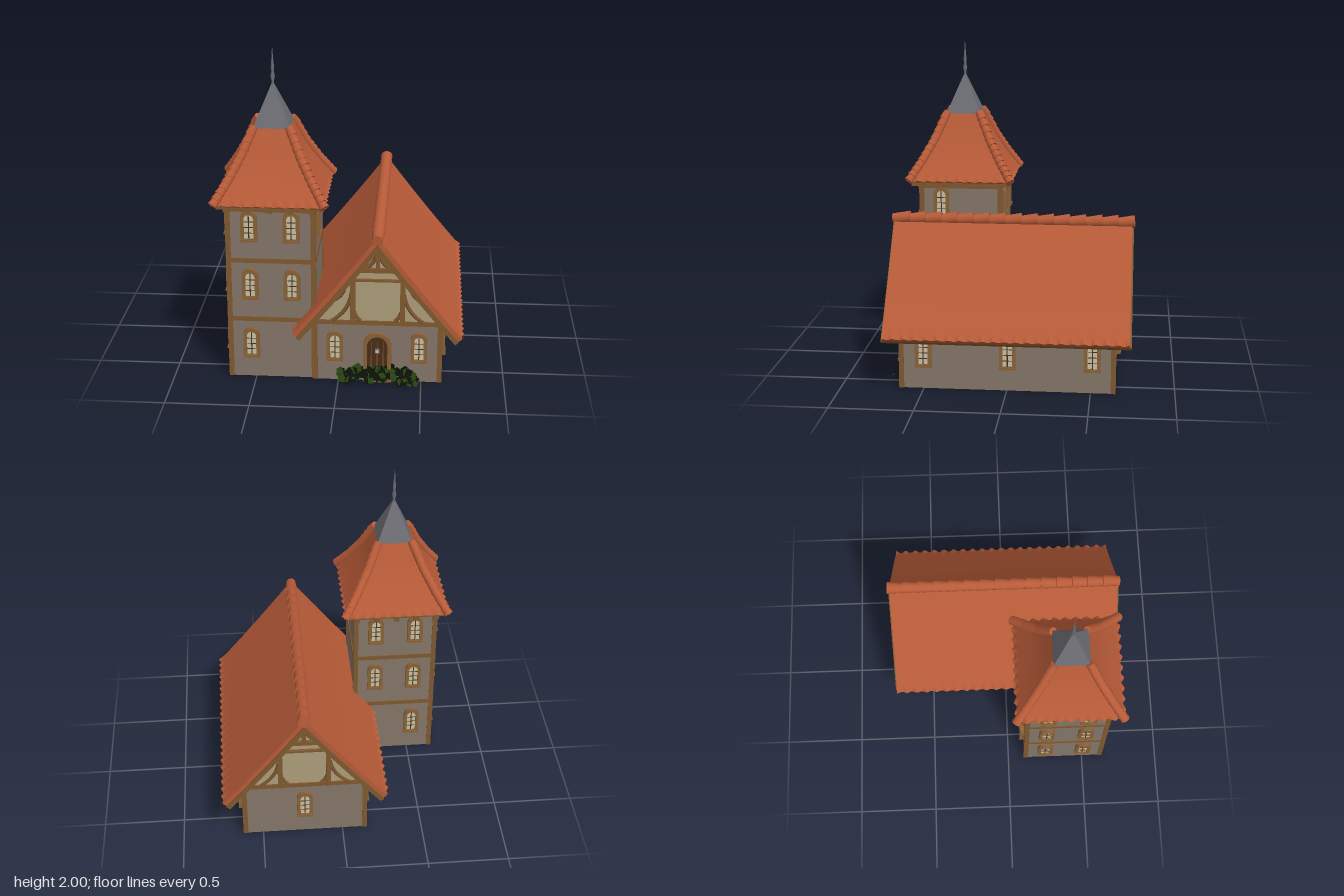
import * as THREE from 'three';
import { toCreasedNormals } from 'three/addons/utils/BufferGeometryUtils.js';

const mat = (name, color, extra = {}) => Object.assign(new THREE.MeshStandardMaterial({ color, ...extra }), { name });
const both = { side: THREE.DoubleSide };
const M = {
  tile: mat('roof tile', 0xb85b38),
  stone: mat('grey render', 0x85776a),
  plaster: mat('plaster', 0xad9d7a, both),
  timber: mat('timber', 0x80592f),
  frame: mat('window surround', 0x8a6238),
  glass: mat('glass', 0xcbc2a6),
  dark: mat('dark wood', 0x4a2f18),
  slate: mat('spire metal', 0x6c6d73),
  leaf: mat('leaf green', 0x24400f, both),
  shade: mat('leaf dark', 0x0b1006, both),
};
const TX = -0.4, TZ = 0.37, TW = 0.262;      // tower centre and half width
const HX = 0.235, HW = 0.385, HD = 0.645;    // hall centre and half sizes
const V3 = (x, y, z) => new THREE.Vector3(x, y, z);

function add(parent, name, geo, material, x = 0, y = 0, z = 0) {
  const m = new THREE.Mesh(geo, material);
  m.name = name;
  m.position.set(x, y, z);
  parent.add(m);
  return m;
}
const box = (p, name, w, h, d, material, x, y, z) => add(p, name, new THREE.BoxGeometry(w, h, d), material, x, y, z);
function group(parent, name, x = 0, y = 0, z = 0, ry = 0) {
  const g = new THREE.Group();
  g.name = name;
  g.position.set(x, y, z);
  g.rotation.y = ry;
  parent.add(g);
  return g;
}

// Grey outer skin and plaster inner skin around a rectangle
function walls(parent, name, hw, hd, h) {
  for (let i = 0; i < 4; i++) {
    const a = i * Math.PI / 2, [w, d] = i % 2 ? [hd, hw] : [hw, hd];
    const side = group(parent, name, 0, 0, 0, a);
    add(side, name + 'Outside', new THREE.PlaneGeometry(2 * w, h), M.stone, 0, h / 2, d);
    add(side, name + 'Inside', new THREE.PlaneGeometry(2 * w - 0.02, h), M.plaster, 0, h / 2, d - 0.01);
  }
}
function posts(parent, hw, hd, h) {
  for (const sx of [-1, 1]) for (const sz of [-1, 1])
    box(parent, 'cornerPost', 0.03, h, 0.03, M.timber, sx * (hw - 0.01), h / 2, sz * (hd - 0.01));
}
function band(parent, hw, hd, y, h = 0.028) {
  for (const s of [-1, 1]) {
    box(parent, 'beam', 2 * hw, h, 0.024, M.timber, 0, y, s * (hd - 0.006));
    box(parent, 'beam', 0.024, h, 2 * hd, M.timber, s * (hw - 0.006), y, 0);
  }
}

// Round-headed opening outline
function arch(w, h, y0 = 0, Type = THREE.Shape) {
  const s = new Type();
  s.moveTo(-w / 2, y0);
  s.lineTo(w / 2, y0);
  s.lineTo(w / 2, y0 + h - w / 2);
  s.absarc(0, y0 + h - w / 2, w / 2, 0, Math.PI, false);
  s.closePath();
  return s;
}
function extrude(shape, depth) {
  const g = new THREE.ExtrudeGeometry(shape, { depth, bevelEnabled: false, curveSegments: 8 });
  return g.translate(0, 0, -depth / 2);
}
const ring = arch(0.098, 0.195);
ring.holes.push(arch(0.056, 0.15, 0.02, THREE.Path));
const frameGeo = extrude(ring, 0.045), paneGeo = extrude(arch(0.058, 0.152, 0.019), 0.028);

function archWindow(parent, x, y, z, ry = 0) {
  const g = group(parent, 'window', x, y, z, ry);
  add(g, 'windowSurround', frameGeo, M.frame);
  add(g, 'glass', paneGeo, M.glass);
  box(g, 'mullion', 0.006, 0.15, 0.034, M.dark, 0, 0.094, 0);
  for (const by of [0.055, 0.09, 0.125]) box(g, 'glazingBar', 0.054, 0.004, 0.032, M.dark, 0, by, 0);
  box(g, 'sill', 0.1, 0.014, 0.056, M.frame, 0, 0.008, 0);
}

// Overlapping tapered round tiles from a to b, each widest at its far end
function tileRun(parent, name, a, b, n, r, lift) {
  const dir = b.clone().sub(a), len = dir.length() / n;
  dir.normalize();
  const geo = new THREE.CylinderGeometry(r, r * 0.8, len * 1.12, 12);
  for (let i = 0; i < n; i++) {
    const m = add(parent, name, geo, M.tile);
    m.position.copy(a).addScaledVector(dir, (i + 0.5) * len);
    m.quaternion.setFromUnitVectors(V3(0, 1, 0), dir.clone().add(V3(0, lift, 0)).normalize());
  }
}

// Curved roof sheet with a scalloped, turned-down eave; curve runs eave (0) to top (1) in x, y
function roofSheet(curve, waves, place) {
  const nx = waves * 8, ny = 16, geo = new THREE.PlaneGeometry(1, 1, nx, ny), p = geo.attributes.position;
  for (let i = 0; i < p.count; i++) {
    const u = p.getX(i) + 0.5, row = Math.round((p.getY(i) + 0.5) * ny);
    const t = Math.max(0, row - 1) / (ny - 1);
    const c = curve.getPoint(t), tan = curve.getTangent(t), n = V3(tan.y, -tan.x, 0);
    const wave = 0.009 * Math.cos(u * waves * Math.PI * 2);
    const out = row === 0 ? wave - 0.022 : row === 1 ? wave + 0.005 : 0.003;
    c.addScaledVector(V3(Math.abs(n.x), Math.abs(n.y), 0), out);
    p.setXYZ(i, ...place(u, c.x, c.y).toArray());
  }
  return toCreasedNormals(geo, 0.6);
}

function tower(root) {
  const t = group(root, 'tower', TX, 0, TZ);
  walls(t, 'towerWall', TW, TW, 1.1);
  posts(t, TW, TW, 1.1);
  for (const y of [0.385, 0.765, 1.088]) band(t, TW, TW, y);
  const o = 0.125;
  for (let i = 0; i < 4; i++) {        // front, left, back, right
    const side = group(t, 'towerSide', 0, 0, 0, i * Math.PI / 2);
    const both2 = [-o, o];
    const top = i === 1 ? [-o] : both2;
    for (const x of top) archWindow(side, x, 0.89, TW);
    if (i !== 1) for (const x of both2) archWindow(side, x, 0.52, TW);
    const low = i === 0 ? [-o] : i === 2 ? [o] : i === 3 ? both2 : [];
    for (const x of low) archWindow(side, x, 0.135, TW);
    for (let k = -2; k <= 2; k++) box(side, 'rafterEnd', 0.035, 0.03, 0.06, M.timber, k * 0.125, 1.1, TW + 0.025);
  }
  box(t, 'soffit', 0.63, 0.02, 0.63, M.timber, 0, 1.118, 0);

  // Four curved roof faces with hip tiles between them
  const curve = new THREE.CatmullRomCurve3([V3(0.325, 1.125, 0), V3(0.25, 1.24, 0), V3(0.175, 1.375, 0), V3(0.103, 1.54, 0)]);
  const face = roofSheet(curve, 10, (u, x, y) => V3((u - 0.5) * 2 * x, y, x));
  for (let i = 0; i < 4; i++) {
    const side = group(t, 'roofSide', 0, 0, 0, i * Math.PI / 2);
    add(side, 'towerRoof', face, M.tile);
    const pts = [1, 0.66, 0.33, 0].map(k => curve.getPoint(k)).map(c => V3(c.x, c.y + 0.005, c.x));
    for (let k = 0; k < 3; k++) tileRun(side, 'hipTile', pts[k], pts[k + 1], 4, 0.03, 0.1);
  }

  // Metal cap and finial
  const cap = new THREE.CylinderGeometry(0.012, 0.155, 0.24, 4, 1).rotateY(Math.PI / 4).toNonIndexed();
  cap.computeVertexNormals();
  add(t, 'spireCap', cap, M.slate, 0, 1.655, 0);
  const prof = [[0.012, 1.76], [0.007, 1.79], [0.014, 1.825], [0.007, 1.85], [0.01, 1.875], [0.006, 1.92], [0.0005, 2]];
  add(t, 'finial', new THREE.LatheGeometry(prof.map(a => new THREE.Vector2(...a)), 8), M.slate);
}

const hallCurve = new THREE.CatmullRomCurve3([V3(0.505, 0.335, 0), V3(0.37, 0.497, 0), V3(0.18, 0.735, 0), V3(0, 0.97, 0)]);
// Symmetrical roof layer lying between two depths below the outer curve
function roofLayer(d1, d2, length) {
  const line = d => Array.from({ length: 13 }, (_, i) => {
    const c = hallCurve.getPoint(i / 12), n = hallCurve.getTangent(i / 12);
    return i === 12 ? [0, c.y - d * 1.65] : [c.x - d * n.y, c.y + d * n.x];
  });
  const full = d => { const l = line(d); return [...l, ...l.slice(0, -1).reverse().map(([x, y]) => [-x, y])]; };
  const pts = [...full(d1), ...full(d2).reverse()].map(a => new THREE.Vector2(...a));
  return extrude(new THREE.Shape(pts), length);
}

function gable(hall, ry) {
  const g = group(hall, 'gable', 0, 0, 0, ry), z = HD + 0.004;
  const pts = [[-HW, 0.37], [HW, 0.37], [HW, 0.43], [0.18, 0.67], [0, 0.9], [-0.18, 0.67], [-HW, 0.43]];
  add(g, 'gablePlaster', new THREE.ShapeGeometry(new THREE.Shape(pts.map(a => new THREE.Vector2(...a)))), M.plaster, 0, 0, HD - 0.002);
  box(g, 'kingPost', 0.024, 0.2, 0.03, M.timber, 0, 0.82, z);
  box(g, 'collarBeam', 0.3, 0.026, 0.03, M.timber, 0, 0.73, z);
  box(g, 'lowerCollar', 0.27, 0.014, 0.024, M.timber, 0, 0.665, z);
  for (const s of [-1, 1]) {
    box(g, 'gablePost', 0.03, 0.33, 0.03, M.timber, s * 0.148, 0.545, z);
    // Curved braces outside the posts, and small ones at the king post
    const brace = (name, a, b, c) => add(g, name, new THREE.TubeGeometry(
      new THREE.QuadraticBezierCurve3(...[a, b, c].map(q => V3(s * q[0], q[1], z))), 8, 0.012, 4), M.timber);
    brace('curvedBrace', [0.155, 0.58], [0.17, 0.46], [0.275, 0.395]);
    brace('upperBrace', [0.01, 0.83], [0.02, 0.77], [0.075, 0.74]);
    brace('innerBrace', [0.14, 0.46], [0.13, 0.42], [0.1, 0.4]);
    brace('eaveStrut', [0.2, 0.6], [0.22, 0.54], [0.29, 0.52]);
  }
}

function hallBuilding(root) {
  const h = group(root, 'hall', HX, 0, 0);
  walls(h, 'hallWall', HW, HD, 0.39);
  posts(h, HW, HD, 0.41);
  band(h, HW, HD, 0.385);
  gable(h, 0);
  gable(h, Math.PI);
  for (const x of [-0.255, 0.25]) archWindow(h, x, 0.135, HD);
  archWindow(h, 0, 0.135, -HD, Math.PI);
  for (const z of [0.5, -0.005, -0.51]) {
    archWindow(h, HW, 0.135, z, Math.PI / 2);
    if (z < 0.1) archWindow(h, -HW, 0.135, z, -Math.PI / 2);
  }

  // Roof: rafters layer, tile layer, scalloped sheets and ridge
  add(h, 'roofTimber', roofLayer(0.028, 0.055, 1.48), M.timber);
  add(h, 'roofTileBed', roofLayer(0.001, 0.028, 1.455), M.tile);
  const sheet = roofSheet(hallCurve, 22, (u, x, y) => V3(x, y, 0.73 - 1.46 * u));
  for (const a of [0, Math.PI]) add(group(h, 'roofSlope', 0, 0, 0, a), 'hallRoof', sheet, M.tile);
  tileRun(h, 'ridgeTile', V3(0, 0.96, 0.735), V3(0, 0.96, -0.74), 15, 0.039, 0.1);

  // Plank door with surround, straps and handle
  const d = group(h, 'door', 0, 0, HD);
  const surround = arch(0.17, 0.325);
  surround.holes.push(arch(0.122, 0.3, 0.001, THREE.Path));
  add(d, 'doorSurround', extrude(surround, 0.05), M.frame);
  add(d, 'doorLeaf', extrude(arch(0.124, 0.3), 0.024), M.dark);
  for (const x of [-0.036, 0, 0.036]) box(d, 'doorBatten', 0.005, 0.25, 0.03, M.timber, x, 0.14, 0);
  box(d, 'doorHatch', 0.028, 0.032, 0.036, M.slate, 0, 0.205, 0);
  box(d, 'hatchPane', 0.018, 0.02, 0.04, M.glass, 0, 0.205, 0);
}

// Leafy cards leaning against the front wall
function bush(root) {
  const b = group(root, 'bush');
  let seed = 7;
  const rnd = () => (seed = (seed * 16807) % 2147483647) / 2147483647;
  for (let i = 0; i < 90; i++) {
    const x = 0.01 + 0.46 * rnd(), top = 0.115 - 0.4 * Math.abs(x - 0.22) ** 1.6;
    const y = 0.022 + (top - 0.022) * rnd(), r = 0.022 + 0.008 * rnd();
    const geo = new THREE.CircleGeometry(r, 4 + (i % 2)).rotateZ(rnd() * 6);
    const m = add(b, 'leaf', geo, i % 3 ? M.shade : M.leaf, x, y, 0.728 - 0.72 * y + 0.006 * rnd());
    m.rotation.set(-0.66 + 0.3 * (rnd() - 0.5), 0.4 * (rnd() - 0.5), 0);
  }
}

export function createModel() {
  const root = new THREE.Group();
  root.name = 'church';
  tower(root);
  hallBuilding(root);
  bush(root);
  return root;
}
